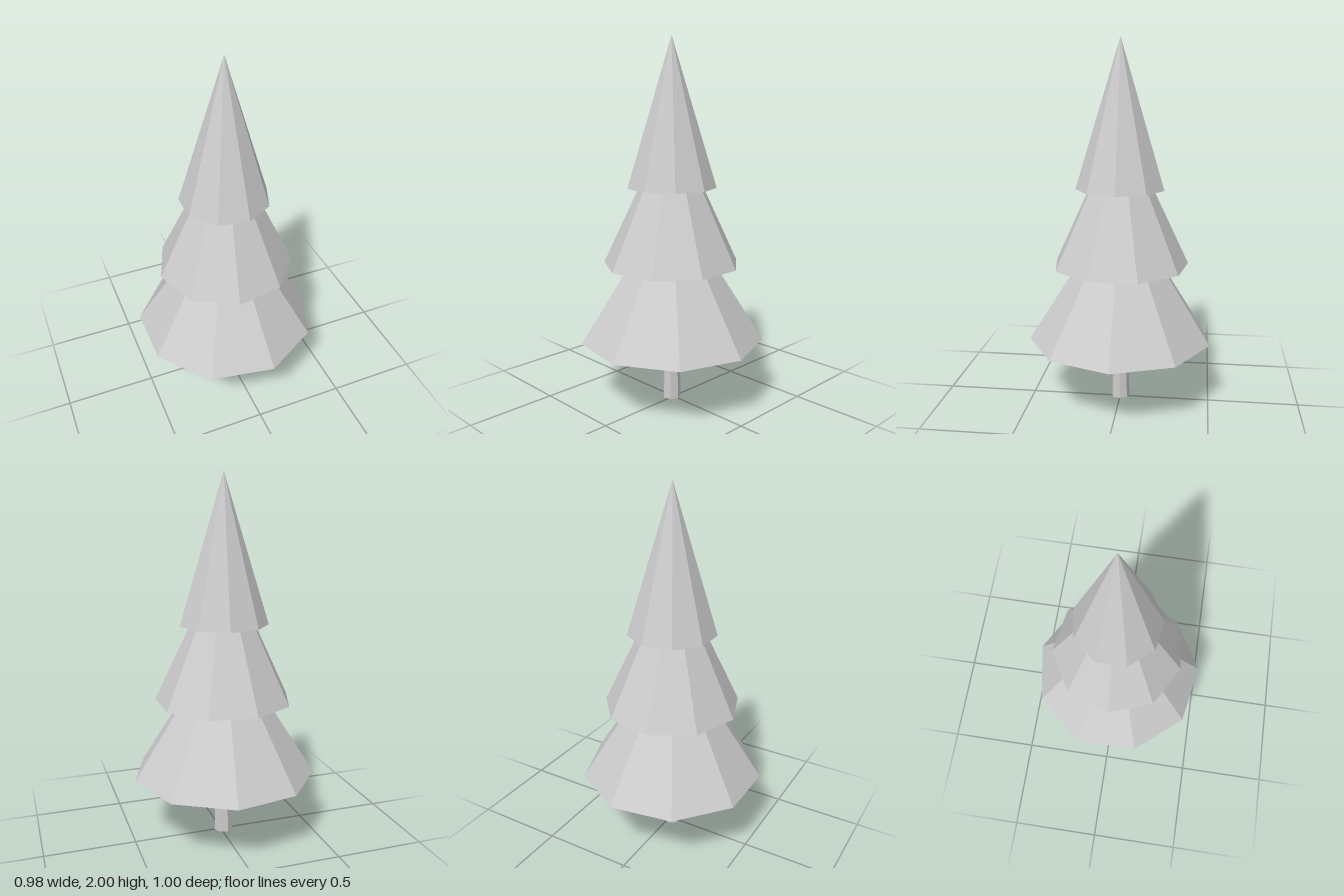
import * as THREE from 'three';

export function createModel() {
  const tree = new THREE.Group();
  tree.name = 'tree';
  const grey = new THREE.MeshStandardMaterial({ color: 0xcccccc });
  grey.name = 'light grey';
  grey.flatShading = true;

  const axisX = -0.015; // the odd-sided tiers sit slightly off centre

  const add = (name, geometry, y, turn) => {
    const mesh = new THREE.Mesh(geometry, grey);
    mesh.name = name;
    mesh.position.set(axisX, y, 0);
    mesh.rotation.y = turn;
    tree.add(mesh);
  };

  // Tapered seven-sided trunk, running up into the lowest tier
  const trunkHeight = 0.45;
  add('trunk', new THREE.CylinderGeometry(0.04, 0.052, trunkHeight, 7), trunkHeight / 2, Math.PI / 2);

  // Three overlapping nine-sided cones; the middle one is turned half way round
  const tierHeight = 0.795;
  const tiers = [
    ['lowerFoliage', 0.507, 0.36, Math.PI / 2],
    ['middleFoliage', 0.376, 0.783, -Math.PI / 2],
    ['upperFoliage', 0.243, 1.205, Math.PI / 2],
  ];
  for (const [name, radius, base, turn] of tiers) {
    add(name, new THREE.ConeGeometry(radius, tierHeight, 9), base + tierHeight / 2, turn);
  }
  return tree;
}
